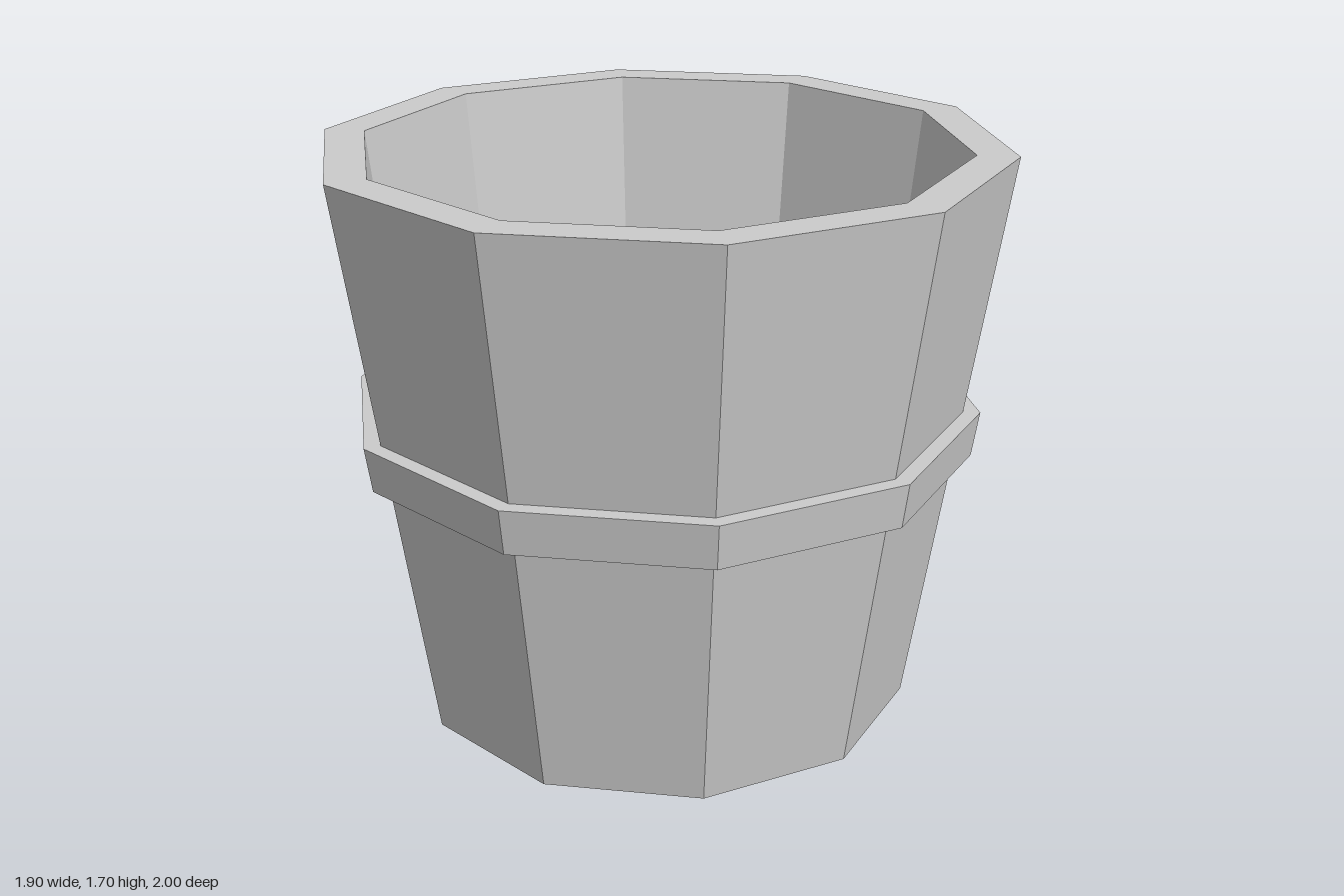
import * as THREE from 'three';

const SIDES = 10;
const material = new THREE.MeshStandardMaterial({ color: 0xcccccc, flatShading: true });

// Ten-sided solid turned from [radius, height] pairs, with a corner facing front
function turned(name, profile) {
  const points = profile.map(([r, y]) => new THREE.Vector2(r, y));
  const mesh = new THREE.Mesh(new THREE.LatheGeometry(points, SIDES), material);
  mesh.name = name;
  return mesh;
}

export function createModel() {
  const group = new THREE.Group();
  group.name = 'bucket';

  // Flared bucket: underside, outer wall, rim, inner wall, inner floor
  group.add(turned('bucketBody', [
    [0, 0], [0.745, 0], [1, 1.7], [0.88, 1.7], [0.69, 0.05], [0, 0.05],
  ]));

  // Raised hoop around the middle, sunk slightly into the wall
  group.add(turned('hoop', [
    [0.855, 0.8], [0.915, 0.8], [0.935, 0.935], [0.875, 0.935],
  ]));

  return group;
}
